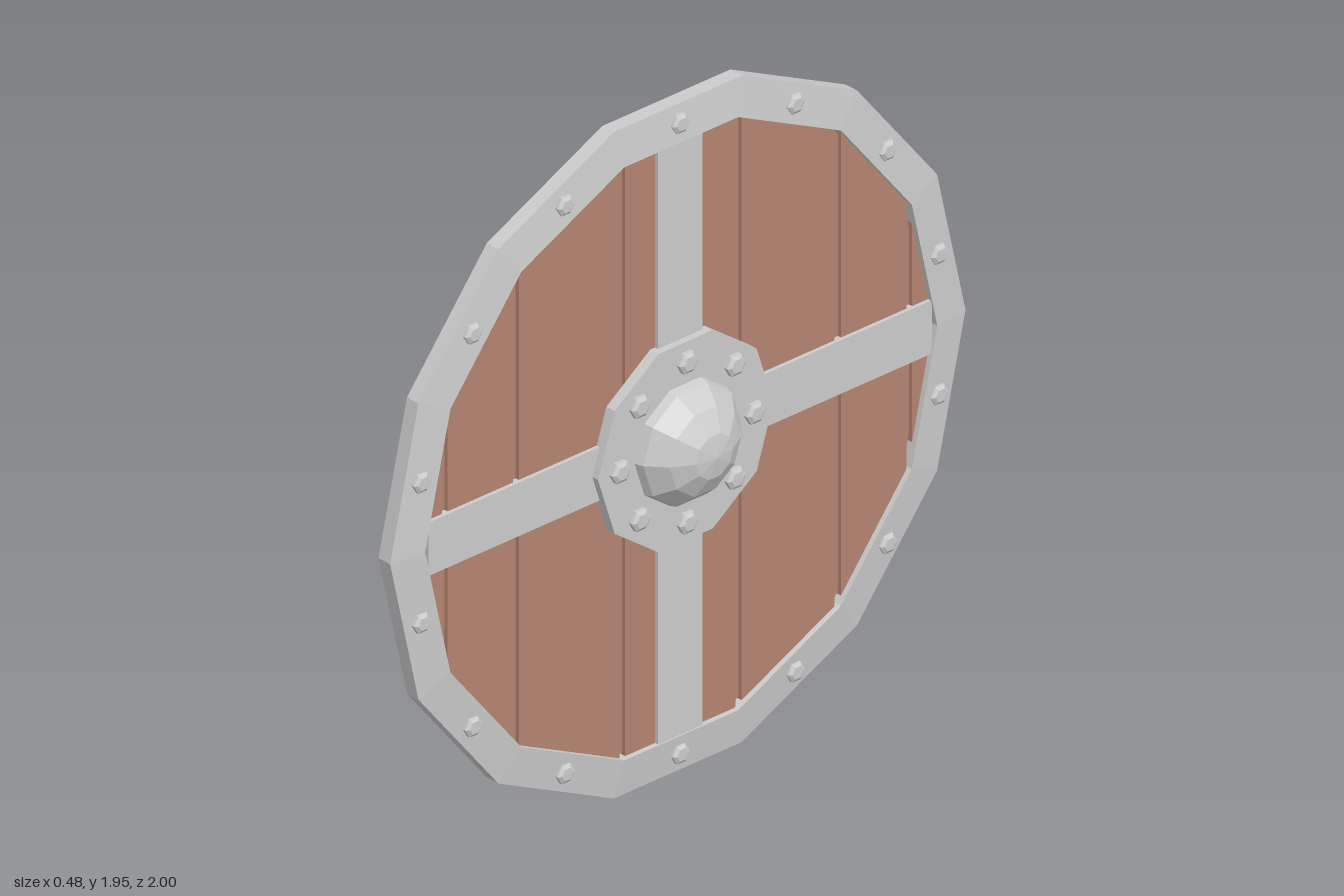
import * as THREE from 'three';

const CY = 0.975;      // height of the shield centre
const SIDES = 14;      // rim polygon
const INNER = 0.89;    // inner rim radius

const metal = new THREE.MeshStandardMaterial({ color: 0xcccccc, flatShading: true });
const wood = new THREE.MeshStandardMaterial({ color: 0xb58470, flatShading: true });

export function createModel() {
  const shield = new THREE.Group();
  shield.name = 'roundShield';

  function add(name, geometry, material, x = 0, y = 0, z = 0) {
    const mesh = new THREE.Mesh(geometry, material);
    mesh.name = name;
    mesh.position.set(x, y, z);
    shield.add(mesh);
    return mesh;
  }

  // Faceted solid turned about the x axis; profile is [radius, x] pairs
  function turned(profile, sides) {
    const points = profile.map(([r, x]) => new THREE.Vector2(r, x));
    return new THREE.LatheGeometry(points, sides).rotateZ(-Math.PI / 2);
  }

  function box(name, material, x0, x1, h, d, y = CY, z = 0) {
    add(name, new THREE.BoxGeometry(x1 - x0, h, d), material, (x0 + x1) / 2, y, z);
  }

  // Bevelled metal rim
  add('rim', turned([[INNER, 0.027], [1, 0.043], [1, 0.087], [INNER, 0.1], [INNER, 0.027]], SIDES), metal, 0, CY);

  // Thin core seen at the bottom of the grooves
  add('core', turned([[0, 0.052], [0.885, 0.052], [0.885, 0.072], [0, 0.072]], SIDES), wood, 0, CY);

  // Planks cut to the rim polygon
  const R = INNER + 0.005;
  const corners = [];
  for (let k = 0; k <= SIDES / 2; k++) {
    const a = Math.PI - (k * 2 * Math.PI) / SIDES;
    corners.push([R * Math.cos(a), R * Math.sin(a)]);
  }
  function halfHeight(u) {
    for (let k = 1; k < corners.length; k++) {
      const [u0, h0] = corners[k - 1], [u1, h1] = corners[k];
      if (u <= u1) return h0 + ((h1 - h0) * (u - u0)) / (u1 - u0);
    }
    return 0;
  }
  const planks = [[-0.885, -0.817], [-0.797, -0.57], [-0.55, -0.2], [-0.18, 0.203],
    [0.225, 0.548], [0.57, 0.797], [0.817, 0.885]];
  for (const [a, b] of planks) {
    const us = [a, ...corners.map((c) => c[0]).filter((u) => u > a && u < b), b];
    const top = us.map((u) => new THREE.Vector2(u, halfHeight(u)));
    const bottom = us.map((u) => new THREE.Vector2(u, -halfHeight(u))).reverse();
    const geometry = new THREE.ExtrudeGeometry(new THREE.Shape([...top, ...bottom]), { depth: 0.044, bevelEnabled: false });
    add('plank', geometry.rotateY(Math.PI / 2), wood, 0.04, CY);
  }

  // Crossed metal bands on the face
  box('verticalBand', metal, 0.06, 0.096, 1.735, 0.154);
  box('horizontalBand', metal, 0.06, 0.0955, 0.156, 1.75);

  // Central boss: ten-sided plate and dome
  add('bossPlate', turned([[0, 0.085], [0.305, 0.085], [0.305, 0.117], [0, 0.117]], 10), metal, 0, CY);
  add('bossDome', turned([[0.18, 0.11], [0.17, 0.142], [0.125, 0.192], [0.065, 0.227], [0, 0.238]], 10), metal, 0, CY);

  // Hexagonal bolts with chamfered heads
  function boltRing(name, count, radius, x, size) {
    const geometry = turned([[size, -0.01], [size, 0.011], [size * 0.65, 0.018], [0, 0.018]], 6);
    for (let i = 0; i < count; i++) {
      const a = (i * 2 * Math.PI) / count;
      add(name, geometry, metal, x, CY + radius * Math.cos(a), radius * Math.sin(a));
    }
  }
  boltRing('rimBolt', 14, 0.922, 0.089, 0.03);
  boltRing('bossBolt', 8, 0.234, 0.118, 0.033);

  // Two bent grips on wooden pads at the back
  const outline = [[0.03, 0.377], [-0.212, 0.323], [-0.242, 0.287]];
  const inside = [[-0.197, 0.215], [0.03, 0.264]];
  const mirror = (list) => list.map(([x, y]) => [x, -y]).reverse();
  const loop = [...outline, ...mirror(outline), ...mirror(inside), ...inside.map((p) => p)];
  const grip = new THREE.Shape(loop.map(([x, y]) => new THREE.Vector2(x, y)));
  const gripGeometry = new THREE.ExtrudeGeometry(grip, { depth: 0.107, bevelEnabled: false }).translate(0, 0, -0.0535);
  for (const side of [-1, 1]) {
    box('gripPad', wood, 0.012, 0.045, 0.77, 0.168, 0.987, side * 0.438);
    add('grip', gripGeometry, metal, 0, 0.987, side * 0.4375);
  }
  return shield;
}
